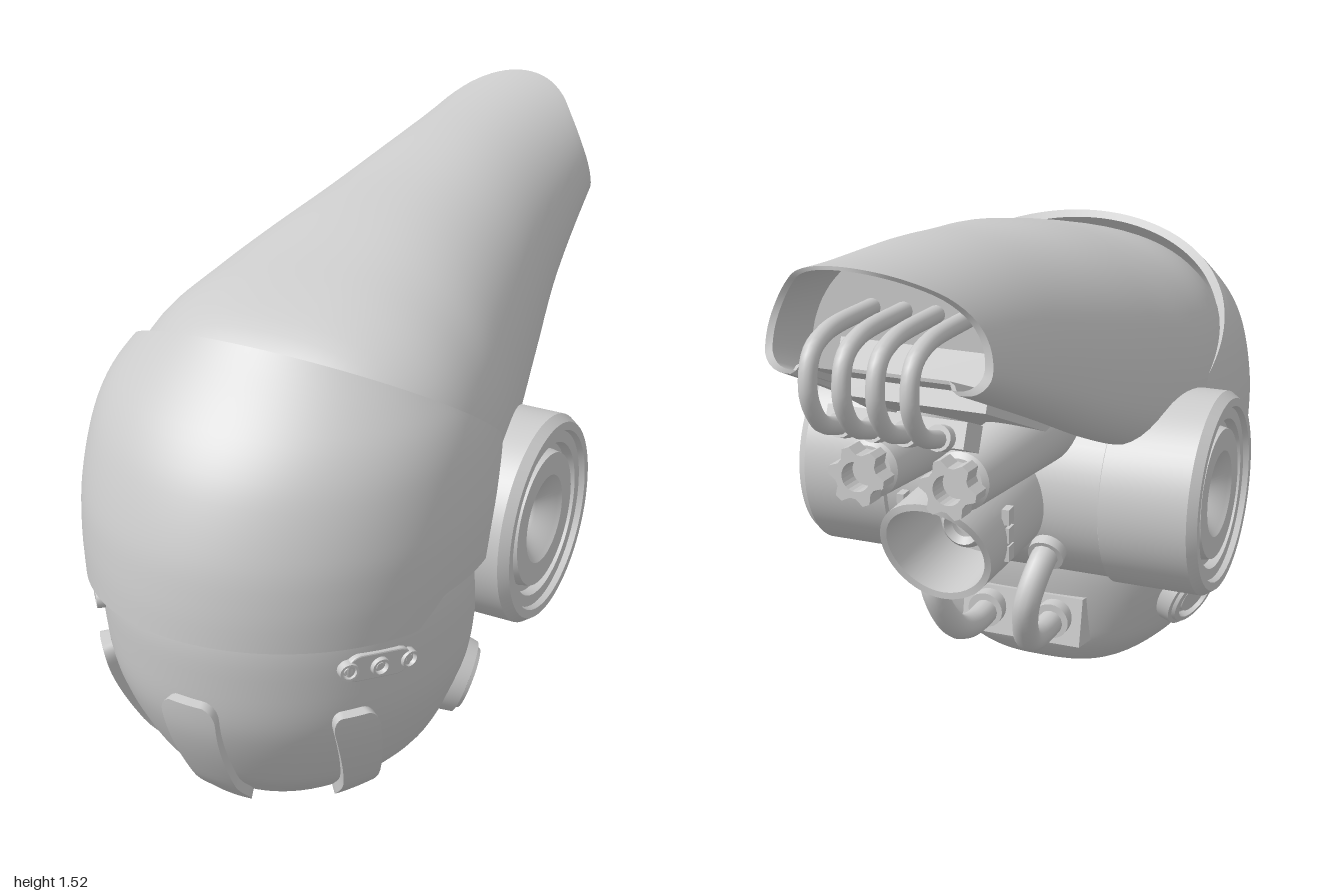
import * as THREE from 'three';
import { toCreasedNormals } from 'three/addons/utils/BufferGeometryUtils.js';

const material = new THREE.MeshStandardMaterial({ color: 0xcccccc, side: THREE.DoubleSide });
const { lerp } = THREE.MathUtils;

function mesh(name, geometry, parent) {
  const m = new THREE.Mesh(geometry, material);
  m.name = name;
  parent.add(m);
  return m;
}

// Smooth shading with sharp edges (scaled up so that fine details keep their own normals)
function crease(geometry, angle = 0.7) {
  const big = geometry.clone().scale(100, 100, 100);
  return toCreasedNormals(big, angle).scale(0.01, 0.01, 0.01);
}

// Grid surface: f(u, row) gives [x, y, z], u runs 0..1
function surface(nu, nv, f) {
  const pos = [], idx = [];
  for (let j = 0; j <= nv; j++) for (let i = 0; i <= nu; i++) pos.push(...f(i / nu, j));
  for (let j = 0; j < nv; j++) for (let i = 0; i < nu; i++) {
    const a = j * (nu + 1) + i, b = a + nu + 1;
    idx.push(a, a + 1, b + 1, a, b + 1, b);
  }
  const g = new THREE.BufferGeometry();
  g.setAttribute('position', new THREE.Float32BufferAttribute(pos, 3));
  g.setIndex(idx);
  return crease(g);
}

// Smooth interpolation through rows [key, value, value, ...]
function table(rows) {
  const slope = (i, c) => {
    const a = rows[Math.max(i - 1, 0)], b = rows[Math.min(i + 1, rows.length - 1)];
    return (b[c] - a[c]) / (b[0] - a[0]);
  };
  return k => {
    let i = 0;
    while (i < rows.length - 2 && k > rows[i + 1][0]) i++;
    const p = rows[i], q = rows[i + 1], h = q[0] - p[0];
    const t = THREE.MathUtils.clamp((k - p[0]) / h, 0, 1), t2 = t * t, t3 = t2 * t;
    return p.slice(1).map((v, n) => v * (2 * t3 - 3 * t2 + 1) + q[n + 1] * (3 * t2 - 2 * t3)
      + h * (slope(i, n + 1) * (t3 - 2 * t2 + t) + slope(i + 1, n + 1) * (t3 - t2)));
  };
}

// Lathe from (radius, height) pairs, listed from the top downwards
const lathe = (pts, n = 48) =>
  crease(new THREE.LatheGeometry(pts.map(p => new THREE.Vector2(...p)).reverse(), n), 0.5);

const tube = (pts, r) => new THREE.TubeGeometry(
  new THREE.CatmullRomCurve3(pts.map(p => new THREE.Vector3(...p))), 40, r, 12);

// Jaw: half width, front z and back z by height
const CZ = 0.42;
const jawTable = table([[0.004, 0.15, 0.58, 0.31], [0.03, 0.23, 0.69, 0.22], [0.1, 0.325, 0.775, 0.145],
  [0.17, 0.385, 0.835, 0.115], [0.35, 0.46, 0.92, 0.08], [0.5, 0.485, 0.943, 0.08],
  [0.66, 0.49, 0.94, 0.08], [0.9, 0.44, 0.85, 0.12]]);
function jawPoint(t, y) {
  const [a, zf, zb] = jawTable(y), c = Math.cos(t), s = Math.sin(t);
  const x = c > 0 ? s : Math.sign(s) * Math.abs(s) ** 0.7;
  return new THREE.Vector3(a * x, y, CZ + c * (c > 0 ? zf - CZ : CZ - zb));
}
function jawNormal(t, y) {
  const e = 0.01, du = jawPoint(t + e, y).sub(jawPoint(t - e, y));
  const dv = jawPoint(t, y + e).sub(jawPoint(t, y - e));
  return dv.cross(du).normalize().negate().multiplyScalar(-1).multiplyScalar(outward(t, y, du, dv));
}
// +1 or -1 so that the normal always faces away from the jaw axis
function outward(t, y, du, n) {
  const p = jawPoint(t, y);
  return n.x * p.x + n.z * (p.z - CZ) >= 0 ? 1 : -1;
}
// Puts an object on the jaw with its +z along the surface normal
function onJaw(obj, t, y, off = 0) {
  const p = jawPoint(t, y), n = jawNormal(t, y);
  obj.position.copy(p).addScaledVector(n, off);
  obj.lookAt(p.clone().addScaledVector(n, 1));
}

// Raised, round-ended plate following the jaw
function jawPlate(tLow, tHigh, y0, y1, wLow, wHigh, off) {
  return surface(14, 26, (u, j) => {
    const v = (1 - Math.cos(Math.PI * j / 26)) / 2, y = lerp(y0, y1, v), t = lerp(tLow, tHigh, v);
    const endDist = Math.min(v, 1 - v) * (y1 - y0), r = 0.05;
    const round = endDist < r ? Math.sqrt(1 - (1 - endDist / r) ** 2) : 1;
    const [a, zf] = jawTable(y), speed = Math.hypot(a * Math.cos(t), (zf - CZ) * Math.sin(t));
    const s = THREE.MathUtils.clamp((u * 14 - 7) / 6, -1, 1);
    const tt = t + s * lerp(wLow, wHigh, v) * (0.45 + 0.55 * round) / speed;
    const lift = u === 0 || u === 1 || j === 0 || j === 26 ? 0 : off;
    return jawPoint(tt, y).addScaledVector(jawNormal(tt, y), lift).toArray();
  });
}

// Visor: half width and front z by height, cut by a sloping plane on top
const visorTable = table([[0.6, 0.51, 1.0], [0.66, 0.517, 0.998], [0.75, 0.525, 0.99], [0.86, 0.525, 0.968],
  [1.0, 0.505, 0.91], [1.09, 0.472, 0.85], [1.17, 0.415, 0.775], [1.25, 0.34, 0.69], [1.29, 0.295, 0.65]]);
function visorPoint(t, y) {
  const [a, zf] = visorTable(y), c = Math.cos(t);
  return [a * Math.sin(t), y, CZ + c * (c > 0 ? zf - CZ : 0.6)];
}
function visorGeometry() {
  const rows = 24;
  return surface(120, rows + 2, (u, j) => {
    const t = (u * 2 - 1) * 2;
    let lo = 0.6, hi = 1.29;
    for (let k = 0; k < 25; k++) {
      const y = (lo + hi) / 2;
      if (y < 0.94 + (visorPoint(t, y)[2] - 0.18) * 0.708) lo = y; else hi = y;
    }
    const z = visorPoint(t, 0.65)[2];
    const bottom = z > 0.65 ? lerp(0.62, 0.655, (z - 0.65) / 0.35) : lerp(0.62, 0.69, Math.min((0.65 - z) / 0.08, 1));
    const v = THREE.MathUtils.clamp((j - 1) / rows, 0, 1);
    const p = visorPoint(t, lerp(bottom, lo, v));
    const k = j === 0 ? 0.92 : j === rows + 2 ? 0.96 : 1;
    return [p[0] * k, p[1] + (j === 0 ? 0.012 : j === rows + 2 ? -0.02 : 0), CZ + (p[2] - CZ) * k];
  });
}

// Hood: top y, bottom y, half width and squareness by z
const hoodTable = table([[-1, 1.52, 1.27, 0.275, 2], [-0.85, 1.505, 1.205, 0.285, 2], [-0.5, 1.475, 1.04, 0.33, 2.1],
  [-0.24, 1.437, 0.91, 0.385, 2.2], [0, 1.4, 0.81, 0.44, 2.3], [0.2, 1.355, 0.76, 0.483, 2.4],
  [0.4, 1.305, 0.75, 0.485, 2.6], [0.55, 1.245, 0.75, 0.43, 2.6], [0.65, 1.16, 0.75, 0.32, 2.6]]);
const hoodEnd = table([[0, -0.865], [0.25, -0.84], [0.55, -0.84], [0.75, -0.88], [0.9, -0.95], [1, -1]]);
function hoodGeometry() {
  const ring = [], curl = [];
  for (let k = 0; k <= 44; k++) ring.push([Math.cos(Math.PI * k / 44), 0.2 + 0.8 * Math.sin(Math.PI * k / 44)]);
  for (let k = 1; k <= 6; k++) curl.push([0.8 + 0.2 * Math.cos(k * Math.PI / 12), 0.2 - 0.2 * Math.sin(k * Math.PI / 12)]);
  curl.push([0.74, 0], [0.7, 0.08]);
  ring.push(...curl.map(([x, y]) => [-x, y]), ...curl.reverse(), [1, 0.2]);
  const n = ring.length - 1, rows = 40;
  return surface(n, rows + 4, (u, j) => {
    const [rx, ry] = ring[Math.round(u * n)], s = (ry - 0.2) / 0.8;
    const v = THREE.MathUtils.clamp((j - 1) / rows, 0, 1);
    const z = j > rows + 2 ? -0.6 : lerp(0.65, hoodEnd(ry)[0], v);
    const [top, low, w, e] = hoodTable(z), mid = (top + low) / 2;
    const x = s > 0 ? Math.sign(rx) * Math.max(0, 1 - s ** e) ** (1 / e) : rx;
    const k = j === 0 || j === rows + 4 ? 0 : j > rows + 1 ? 0.93 : 1;
    return [x * w * k, mid + (lerp(low, top, ry) - mid) * k, z];
  });
}

export function createModel() {
  const root = new THREE.Group();
  root.name = 'helmet';

  // Main shells
  mesh('jaw', surface(72, 42, (u, j) => {
    if (j === 0 || j === 42) return [0, j ? 0.9 : 0.002, CZ];
    return jawPoint(u * Math.PI * 2, 0.004 + 0.896 * ((j - 1) / 40) ** 1.8).toArray();
  }), root);
  mesh('visor', visorGeometry(), root);
  mesh('hood', hoodGeometry(), root);

  // Front jaw plates
  mesh('centrePlate', jawPlate(0, 0, 0.045, 0.455, 0.05, 0.075, 0.026), root);
  for (const s of [-1, 1]) mesh('sidePlate', jawPlate(s * 1.0, s * 0.83, 0.05, 0.43, 0.045, 0.06, 0.026), root);

  // Ears on a cross barrel
  const barrel = mesh('crossBarrel', new THREE.CylinderGeometry(0.268, 0.268, 0.8, 48), root);
  barrel.rotation.z = Math.PI / 2;
  barrel.position.set(0, 0.675, 0.09);
  const earGeo = lathe([[0, 0.5], [0.055, 0.5], [0.06, 0.51], [0.108, 0.55], [0.118, 0.56], [0.178, 0.56],
    [0.183, 0.535], [0.2, 0.535], [0.205, 0.56], [0.235, 0.56], [0.24, 0.575], [0.262, 0.575],
    [0.279, 0.55], [0.279, 0.31], [0.268, 0.305]], 64);
  const discGeo = lathe([[0, 0.02], [0.048, 0.02], [0.053, 0.006], [0.062, 0.006], [0.066, 0.026],
    [0.082, 0.024], [0.086, 0.014], [0.098, 0.012], [0.105, -0.03]], 40).rotateX(Math.PI / 2);
  const pill = new THREE.Shape();
  pill.absarc(0.052, 0, 0.034, -Math.PI / 2, Math.PI / 2);
  pill.absarc(-0.052, 0, 0.034, Math.PI / 2, Math.PI * 1.5);
  const pillGeo = new THREE.ExtrudeGeometry(pill,
    { depth: 0.02, bevelSize: 0.004, bevelThickness: 0.004, bevelSegments: 2, curveSegments: 12 });
  const ventGeo = lathe([[0, 0.006], [0.01, 0.006], [0.012, 0], [0.016, 0], [0.018, 0.012],
    [0.024, 0.012], [0.027, -0.02]], 24).rotateX(Math.PI / 2);
  for (const s of [-1, 1]) {
    const ear = mesh('ear', earGeo, root);
    ear.rotation.z = -s * Math.PI / 2;
    ear.position.set(0, 0.675, 0.09);
    onJaw(mesh('jawDisc', discGeo, root), s * 1.95, 0.275, 0.012);
    // Vent cluster under the visor
    const plate = mesh('ventPlate', pillGeo, root);
    onJaw(plate, s * 0.955, 0.55, -0.016);
    plate.rotateZ(-s * 0.12);
    [0.796, 0.955, 1.115].forEach((t, i) => onJaw(mesh('vent', ventGeo, root), s * t, 0.558 - i * 0.008, 0.008));
  }

  // Rear exhaust with a slanted mouth: outer wall, rim, inner wall, back
  const exhaust = [[0.155, 0], [0.15, 1], [0.132, 1], [0.122, 0.35], [0, 0.35]];
  mesh('exhaust', surface(48, 4, (u, j) => {
    const [r, v] = exhaust[j], a = u * Math.PI * 2, h = (Math.sin(a) + 1) / 2;
    return [r * Math.cos(a), 0.67 + r * Math.sin(a), lerp(-0.1, -0.495 - 0.11 * h ** 1.4, v)];
  }), root);
  const core = mesh('exhaustCore', lathe([[0.035, 0.1], [0.05, 0.12], [0.065, 0.1], [0.085, 0]], 32), root);
  core.rotation.x = -Math.PI / 2;
  core.position.set(0, 0.67, -0.25);
  for (const s of [-1, 1]) for (const y of [0.64, 0.69, 0.74])
    mesh('exhaustSlot', new THREE.BoxGeometry(0.02, 0.042, 0.035), root).position.set(s * 0.146, y, -0.41);

  // Twin thruster tubes with toothed nuts
  const nut = new THREE.Shape();
  for (let i = 0; i < 24; i++) {
    const a = i * Math.PI / 12, r = i % 4 < 2 ? 0.075 : 0.056;
    nut[i ? 'lineTo' : 'moveTo'](r * Math.cos(a), r * Math.sin(a));
  }
  nut.holes.push(new THREE.Path().absarc(0, 0, 0.038, 0, Math.PI * 2, true));
  const nutGeo = new THREE.ExtrudeGeometry(nut, { depth: 0.06, bevelEnabled: false });
  for (const s of [-1, 1]) {
    const thruster = new THREE.Group();
    thruster.name = 'thruster';
    thruster.position.set(s * 0.12, 0.875, -0.08);
    thruster.rotation.x = 0.07;
    mesh('thrusterTube', lathe([[0, 0.58], [0.06, 0.58], [0.075, 0.57], [0.1, 0]], 32), thruster).rotation.x = -Math.PI / 2;
    mesh('thrusterNut', nutGeo, thruster).position.z = -0.65;
    root.add(thruster);
  }

  // Panel and connector under the hood, with looping pipes
  const panel = mesh('underPanel', new THREE.BoxGeometry(0.4, 0.14, 0.62), root);
  panel.position.set(0, 1.045, -0.37);
  panel.rotation.x = 0.42;
  const connector = mesh('pipeConnector', new THREE.BoxGeometry(0.36, 0.065, 0.1), root);
  connector.position.set(0, 1.055, -0.71);
  connector.rotation.x = 0.42;
  for (const x of [-0.126, -0.042, 0.042, 0.126]) {
    mesh('loopPipe', tube([[x, 1.31, -0.58], [x, 1.315, -0.85], [x, 1.285, -0.92], [x, 1.2, -0.94],
      [x, 1.115, -0.89], [x, 1.075, -0.8], [x, 1.055, -0.73]], 0.022), root);
    const collar = mesh('pipeCollar', new THREE.CylinderGeometry(0.032, 0.032, 0.04, 16), root);
    collar.position.set(x, 1.068, -0.772);
    collar.rotation.x = Math.PI / 2 + 0.35;
  }

  // Lower hoses from the jaw block to the barrel
  const block = mesh('hoseBlock', new THREE.BoxGeometry(0.36, 0.14, 0.1), root);
  block.position.set(0, 0.225, 0.105);
  block.rotation.x = 0.2;
  for (const s of [-1, 1]) {
    mesh('hose', tube([[s * 0.1, 0.24, 0.1], [s * 0.1, 0.245, -0.08], [s * 0.11, 0.29, -0.18],
      [s * 0.135, 0.42, -0.25], [s * 0.155, 0.52, -0.2], [s * 0.16, 0.56, -0.1]], 0.036), root);
    const low = mesh('hoseCollar', new THREE.CylinderGeometry(0.052, 0.052, 0.04, 24), root);
    low.position.set(s * 0.1, 0.243, 0.045);
    low.rotation.x = Math.PI / 2;
    const high = mesh('hoseCollar', new THREE.CylinderGeometry(0.05, 0.05, 0.05, 24), root);
    high.position.set(s * 0.158, 0.543, -0.15);
    high.rotation.x = Math.PI / 2 - 0.4;
  }
  return root;
}
